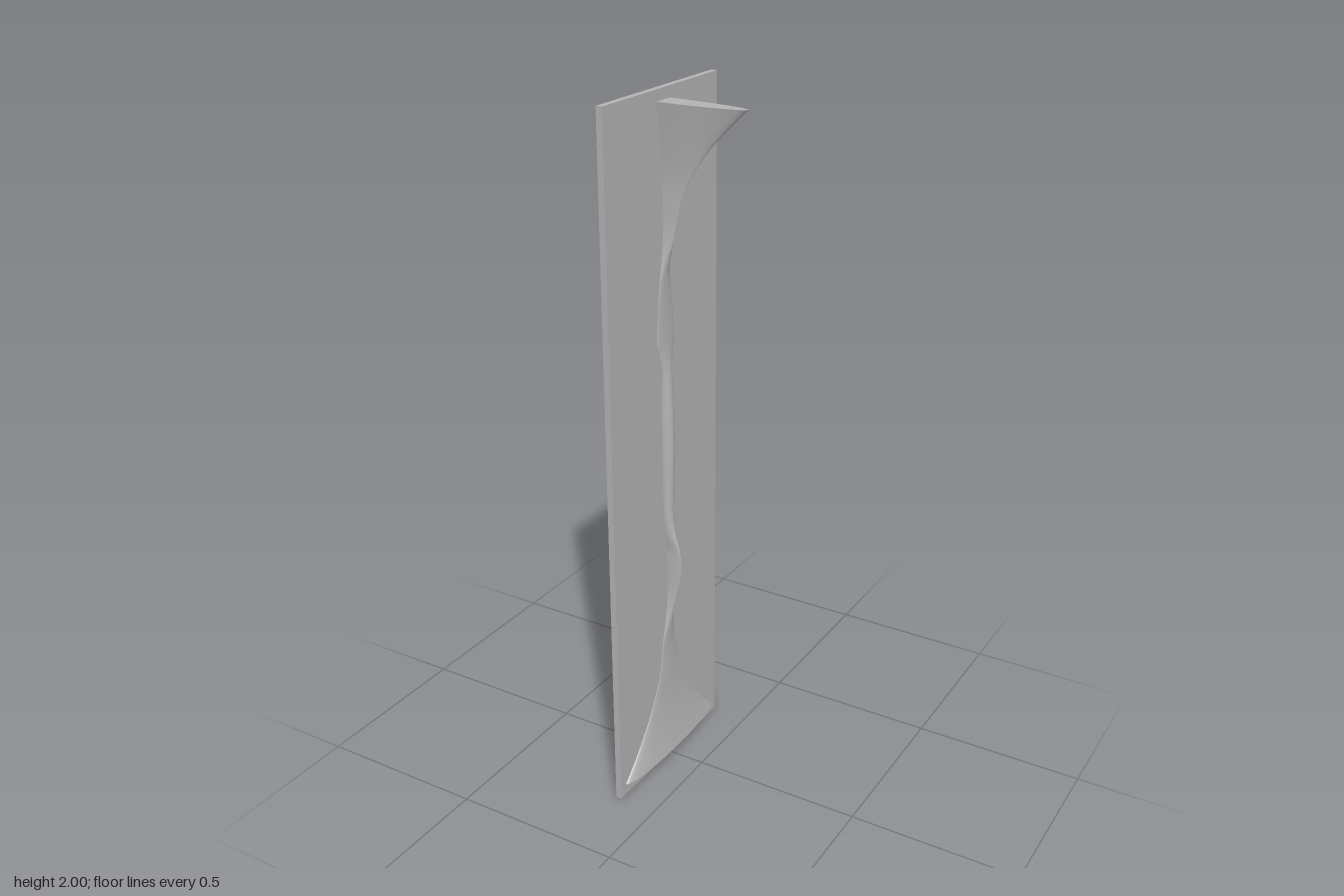
import * as THREE from 'three';

const FACE_X = -0.113; // outer face of the backing panel

// Ridge stations from bottom to top: [height y, half width in z, projection in x]
const STATIONS = [
  [0.035, 0.243, 0.030], [0.1, 0.178, 0.020], [0.2, 0.102, 0.009], [0.3, 0.052, 0.005],
  [0.4, 0.033, 0.005], [0.45, 0.021, 0.010], [0.5, 0.011, 0.017], [0.55, 0.005, 0.027],
  [0.6, 0.004, 0.038], [0.65, 0.004, 0.045], [0.7, 0.005, 0.041], [0.75, 0.013, 0.027],
  [0.8, 0.018, 0.020], [0.9, 0.021, 0.020], [1.0, 0.022, 0.023], [1.1, 0.022, 0.022],
  [1.2, 0.020, 0.018], [1.25, 0.022, 0.014], [1.3, 0.034, 0.008], [1.33, 0.042, 0.006],
  [1.4, 0.037, 0.004], [1.5, 0.026, 0.006], [1.55, 0.017, 0.013], [1.6, 0.009, 0.026],
  [1.65, 0.005, 0.036], [1.7, 0.004, 0.047], [1.75, 0.004, 0.065], [1.8, 0.007, 0.093],
  [1.85, 0.013, 0.128], [1.9, 0.020, 0.172], [1.97, 0.031, 0.243],
];
const ARC = 32;

// Half-elliptical cross-section standing out from the panel
function section([y, w, h]) {
  return Array.from({ length: ARC + 1 }, (_, j) => {
    const a = (j / ARC) * Math.PI;
    return new THREE.Vector3(FACE_X + h * Math.sin(a), y, w * Math.cos(a));
  });
}

// Smooth skin through all sections
function loftSections(rows) {
  const cols = ARC + 1;
  const index = [];
  for (let i = 0; i < rows.length - 1; i++) {
    for (let j = 0; j < ARC; j++) {
      const a = i * cols + j;
      index.push(a, a + 1, a + cols, a + 1, a + cols + 1, a + cols);
    }
  }
  const geometry = new THREE.BufferGeometry().setFromPoints(rows.flat());
  geometry.setIndex(index);
  geometry.computeVertexNormals();
  return geometry;
}

// Flat end closing one section
function endCap(row, up) {
  const index = [];
  for (let j = 1; j < ARC; j++) index.push(0, ...(up ? [j, j + 1] : [j + 1, j]));
  const geometry = new THREE.BufferGeometry().setFromPoints(row);
  geometry.setIndex(index);
  geometry.computeVertexNormals();
  return geometry;
}

export function createModel() {
  const model = new THREE.Group();
  const grey = new THREE.MeshStandardMaterial({ color: 0xb4b4b4 });
  grey.name = 'plain grey';

  const add = (name, geometry, parent) => {
    const mesh = new THREE.Mesh(geometry, grey);
    mesh.name = name;
    parent.add(mesh);
    return mesh;
  };

  // Tall backing panel
  add('backPanel', new THREE.BoxGeometry(0.018, 2, 0.536), model)
    .position.set(-0.122, 1, 0);

  // Sculpted ridge: wide foot, slim waist, projecting top
  const curve = new THREE.CatmullRomCurve3(STATIONS.map((s) => new THREE.Vector3(...s)));
  const rows = curve.getPoints((STATIONS.length - 1) * 5).map((p) => section([p.x, p.y, p.z]));
  const ridge = new THREE.Group();
  ridge.name = 'ridge';
  add('ridgeSkin', loftSections(rows), ridge);
  add('ridgeFoot', endCap(rows[0], false), ridge);
  add('ridgeTop', endCap(rows[rows.length - 1], true), ridge);
  model.add(ridge);

  return model;
}
